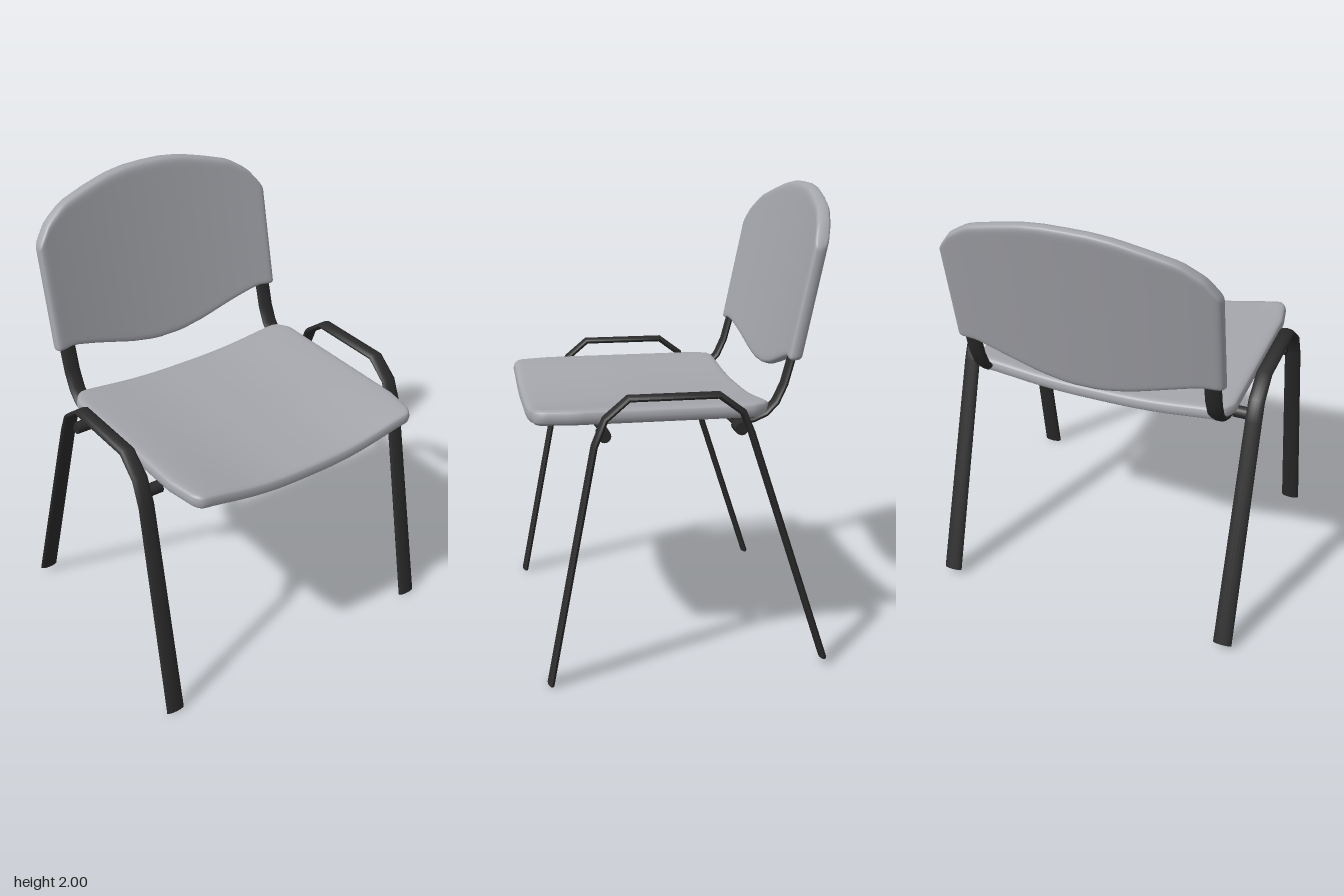
import * as THREE from 'three';
import { mergeVertices, toCreasedNormals } from 'three/addons/utils/BufferGeometryUtils.js';

// piecewise linear lookup in [position, value] pairs
function lookup(pairs, s) {
  for (let i = 1; i < pairs.length; i++) {
    const [a, va] = pairs[i - 1], [b, vb] = pairs[i];
    if (s <= b) return va + (vb - va) * Math.max(0, (s - a) / (b - a));
  }
  return pairs[pairs.length - 1][1];
}

// slab with rounded rims, every vertex then moved by the warp rule
function softSlab(size, segments, radius, warp) {
  const geo = new THREE.BoxGeometry(2, 2, 2, ...segments);
  const pos = geo.attributes.position;
  const half = new THREE.Vector3(...size).multiplyScalar(0.5);
  const inner = half.clone().subScalar(radius);
  const p = new THREE.Vector3(), core = new THREE.Vector3();
  for (let i = 0; i < pos.count; i++) {
    p.fromBufferAttribute(pos, i);
    // gather vertices near the rims
    p.set(...p.toArray().map((c) => Math.sin(c * Math.PI / 2))).multiply(half);
    core.copy(p).clamp(inner.clone().negate(), inner);
    p.sub(core).setLength(radius).add(core);
    warp(p);
    pos.setXYZ(i, p.x, p.y, p.z);
  }
  geo.deleteAttribute('normal');
  geo.deleteAttribute('uv');
  const smooth = mergeVertices(geo, 1e-5);
  smooth.computeVertexNormals();
  return smooth;
}

// oval bar along points [x, y, z, half width]; thin in the xy plane, wide in z
function ovalBar(points, thin, sides = 16) {
  const verts = [], index = [], n = points.length;
  const dir = (a, b) => new THREE.Vector2(b[0] - a[0], b[1] - a[1]).normalize();
  points.forEach((pt, i) => {
    const before = dir(points[Math.max(i - 1, 0)], points[Math.max(i, 1)]);
    const after = dir(points[Math.min(i, n - 2)], points[Math.min(i + 1, n - 1)]);
    const t = before.clone().add(after).normalize();
    const k = thin / t.dot(after);
    for (let j = 0; j < sides; j++) {
      const a = (j / sides) * Math.PI * 2;
      const c = Math.cos(a) * k;
      verts.push(pt[0] - t.y * c, pt[1] + t.x * c, pt[2] + Math.sin(a) * pt[3]);
    }
  });
  for (let i = 0; i < n - 1; i++) {
    for (let j = 0; j < sides; j++) {
      const a = i * sides + j, b = i * sides + (j + 1) % sides;
      index.push(a, b, b + sides, a, b + sides, a + sides);
    }
  }
  const last = (n - 1) * sides;
  for (let j = 1; j < sides - 1; j++) {
    index.push(0, j + 1, j, last, last + j, last + j + 1);
  }
  const geo = new THREE.BufferGeometry();
  geo.setAttribute('position', new THREE.Float32BufferAttribute(verts, 3));
  geo.setIndex(index);
  return toCreasedNormals(geo, 0.9);
}

export function createModel() {
  const chair = new THREE.Group();
  chair.name = 'chair';
  const plastic = new THREE.MeshStandardMaterial({ color: 0xa5a6ac });
  plastic.name = 'grey plastic';
  const metal = new THREE.MeshStandardMaterial({ color: 0x2b2b2b });
  metal.name = 'black metal';
  const add = (name, geo, mat) => {
    const mesh = new THREE.Mesh(geo, mat);
    mesh.name = name;
    chair.add(mesh);
    return mesh;
  };

  // seat: dished across, sinking toward its front lip, corners drawn in
  const seatWidth = [[-0.35, 0.9], [-0.32, 0.95], [-0.27, 1], [0.47, 1], [0.6, 0.96], [0.645, 0.92]];
  add('seat', softSlab([0.995, 0.064, 1.2], [36, 4, 36], 0.031, (p) => {
    p.x += 0.1475;
    p.z *= lookup(seatWidth, p.x);
    const s = Math.min(1, Math.abs(p.z) / 0.6) ** 1.5;
    const middle = lookup([[-0.35, 1.062], [0.15, 1.055], [0.645, 1.031]], p.x);
    p.y += middle + (1.1 - middle) * s * s * (3 - 2 * s);
  }), plastic);

  // backrest: tilted, wrapped forward at the sides, arched top and bottom
  const top = [[0, 2], [0.1, 1.998], [0.2, 1.985], [0.32, 1.955], [0.44, 1.92], [0.53, 1.86], [0.6, 1.77]];
  const bottom = [[0, 1.19], [0.07, 1.19], [0.2, 1.215], [0.4, 1.275], [0.5, 1.302], [0.6, 1.3]];
  add('backrest', softSlab([0.06, 0.8, 1.2], [4, 30, 40], 0.029, (p) => {
    const z = Math.abs(p.z);
    p.y = THREE.MathUtils.lerp(lookup(bottom, z), lookup(top, z), (p.y + 0.4) / 0.8);
    p.x += -0.462 - 0.213 * (p.y - 1.2) + 0.05 * (z / 0.6) ** 2;
  }), plastic);

  for (const side of [1, -1]) {
    const name = side > 0 ? 'front' : 'rear';
    // one bent oval tube forms both legs and the arch between them
    add(name + 'LegFrame', ovalBar([
      [-0.56, 0.03, 0.677, 0.043], [-0.235, 1.03, 0.667, 0.037], [-0.2, 1.115, 0.666, 0.036],
      [-0.1, 1.19, 0.665, 0.035], [0.27, 1.19, 0.665, 0.035], [0.365, 1.11, 0.666, 0.036],
      [0.41, 1, 0.667, 0.037], [0.603, 0.005, 0.677, 0.043],
    ].map(([x, y, z, w]) => [x, y, z * side, w]), 0.014), metal);

    // bar from under the seat up into the backrest
    add(name + 'BackSupport', ovalBar([
      [-0.48, 1.5], [-0.432, 1.3], [-0.405, 1.2], [-0.37, 1.125],
      [-0.325, 1.078], [-0.27, 1.055], [-0.19, 1.045],
    ].map(([x, y]) => [x, y, 0.54 * side, 0.038]), 0.015), metal);

    // round stubs joining the crossbars to the legs
    for (const [x, y] of [[-0.2, 1.04], [0.365, 1.035]]) {
      const stub = add(name + 'Stub', new THREE.CylinderGeometry(0.027, 0.027, 0.08, 16), metal);
      stub.rotation.x = Math.PI / 2;
      stub.position.set(x, y, 0.61 * side);
    }
  }

  // crossbars following the underside of the seat
  for (const [x, sag] of [[-0.2, 1.026], [0.365, 1.014]]) {
    const curve = new THREE.CatmullRomCurve3([
      [0.6, 1.042], [0.5, 1.04], [0.25, sag + 0.006], [0, sag],
      [-0.25, sag + 0.006], [-0.5, 1.04], [-0.6, 1.042],
    ].map(([z, y]) => new THREE.Vector3(x, y, z)));
    add('crossbar', new THREE.TubeGeometry(curve, 32, 0.014, 10), metal);
  }
  return chair;
}
